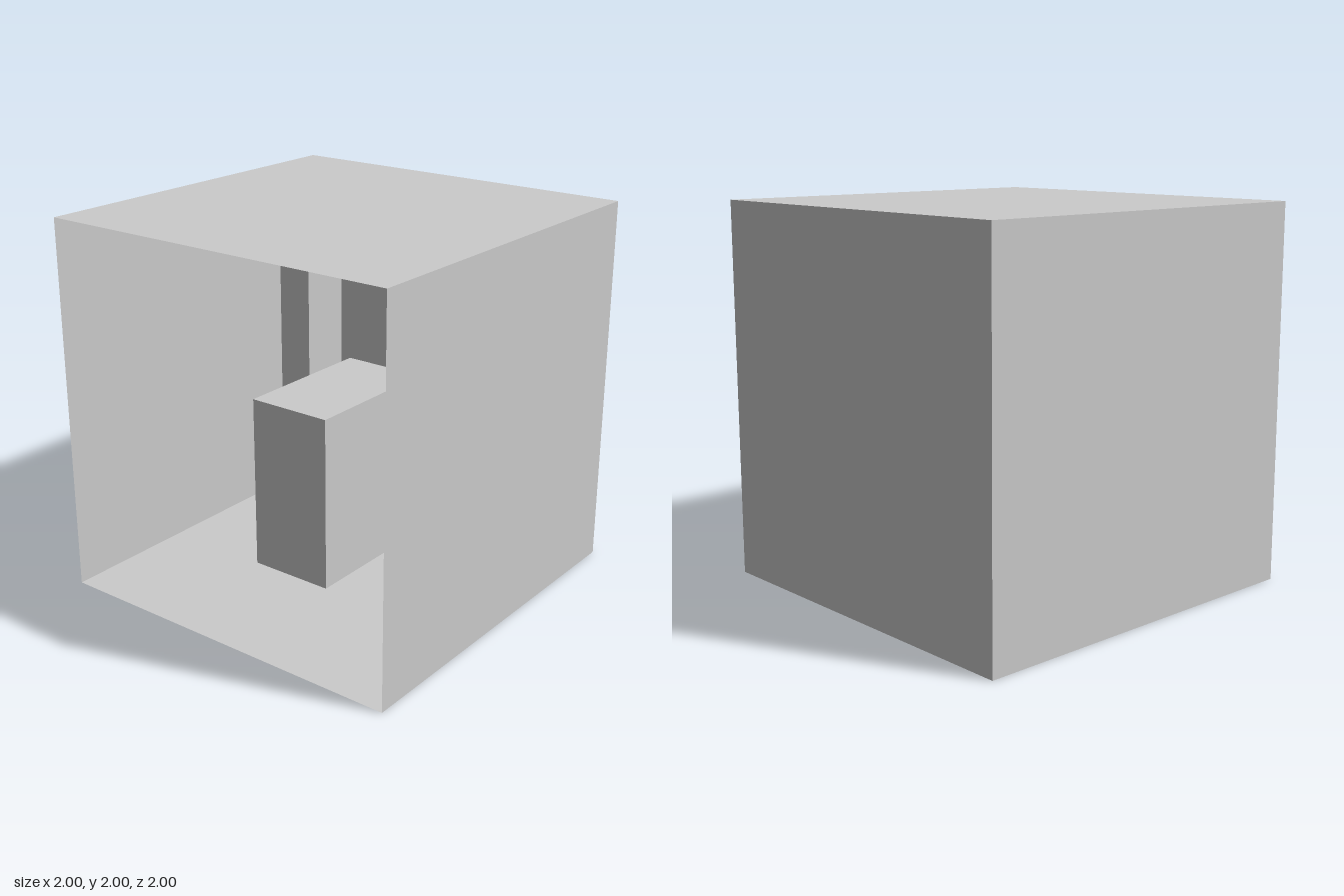
import * as THREE from 'three';

export function createModel() {
  const group = new THREE.Group();
  const solid = new THREE.MeshStandardMaterial({ color: 0xcccccc });
  const sheet = new THREE.MeshStandardMaterial({ color: 0xcccccc, side: THREE.DoubleSide });

  const add = (name, geometry, material, x, y, z) => {
    const mesh = new THREE.Mesh(geometry, material);
    mesh.name = name;
    mesh.position.set(x, y, z);
    group.add(mesh);
    return mesh;
  };

  // Room of thin sheets, open at the front; every sheet faces inwards
  const wall = new THREE.PlaneGeometry(2, 2);
  add('backWall', wall, sheet, 0, 1, -1);
  add('rightWall', wall, sheet, -1, 1, 0).rotation.y = Math.PI / 2;
  add('leftWall', wall, sheet, 1, 1, 0).rotation.y = -Math.PI / 2;
  add('floor', wall, sheet, 0, 0, 0).rotation.x = -Math.PI / 2;
  add('ceiling', wall, sheet, 0, 2, 0).rotation.x = Math.PI / 2;

  // Blocks standing on the floor, given by their x and z extents and height
  const block = (name, x0, x1, height, z0, z1) =>
    add(name, new THREE.BoxGeometry(x1 - x0, height, z1 - z0), solid,
      (x0 + x1) / 2, height / 2, (z0 + z1) / 2);
  block('tallBlock', -0.79, -0.585, 1.49, -0.74, -0.44);
  block('shortBlock', -0.405, 0.08, 0.967, -0.59, 0.25);

  // Ball resting on the floor
  add('ball', new THREE.SphereGeometry(0.368, 48, 32), solid, 0.567, 0.372, -0.45);

  return group;
}
